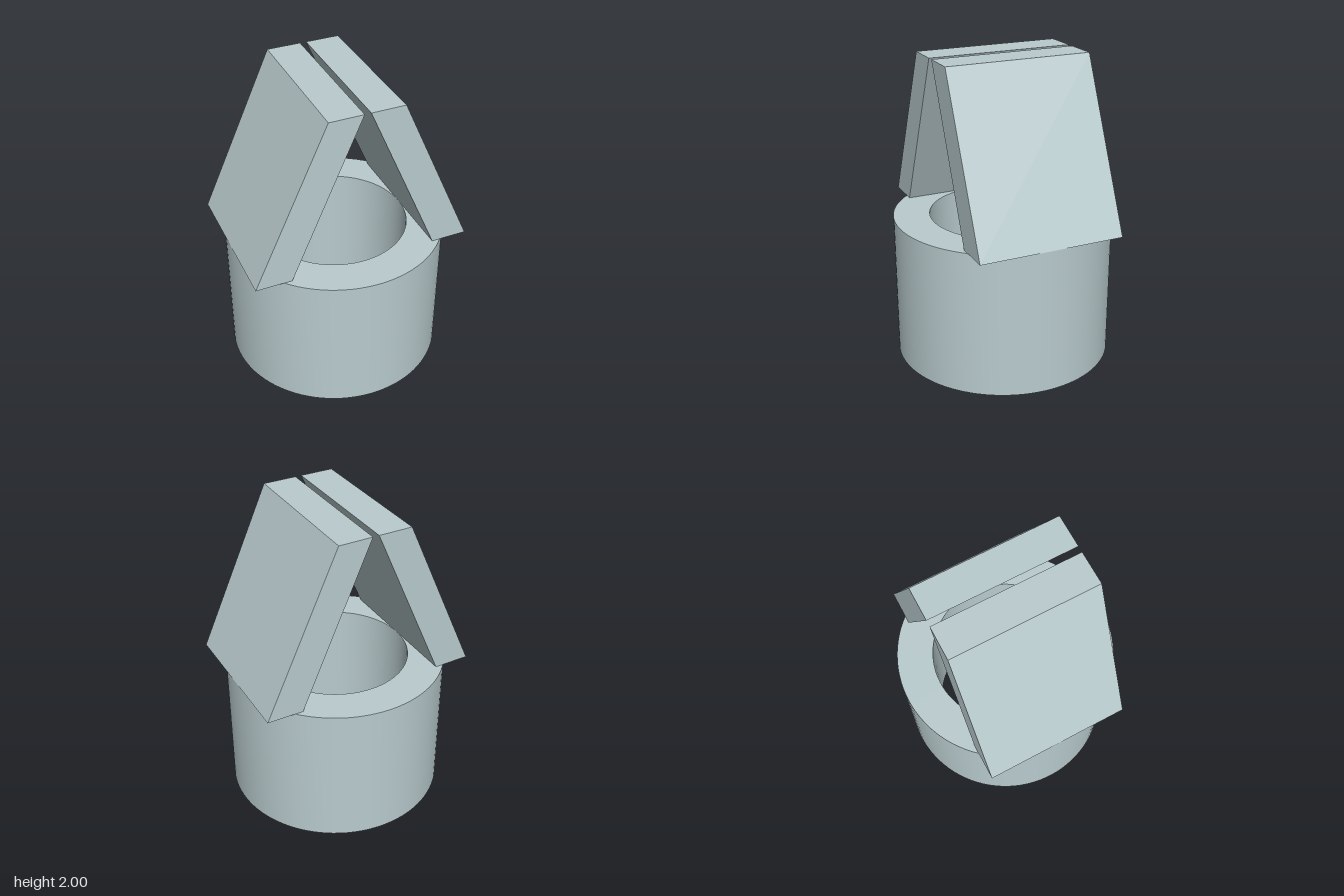
import * as THREE from 'three';
import { toCreasedNormals } from 'three/addons/utils/BufferGeometryUtils.js';

const OUTER = 0.712, INNER = 0.477, RING_TOP = 0.952, TOP = 2, DEPTH = 0.95;

export function createModel() {
  const model = new THREE.Group();
  const paleGrey = new THREE.MeshStandardMaterial({ color: 0xb9cbce });
  paleGrey.name = 'paleBlueGrey';

  // Open tube: outer wall, top rim, inner wall, bottom rim
  const profile = [
    [OUTER, 0], [OUTER, RING_TOP], [INNER, RING_TOP], [INNER, 0], [OUTER, 0],
  ].map(([r, y]) => new THREE.Vector2(r, y));
  const tube = new THREE.Mesh(
    toCreasedNormals(new THREE.LatheGeometry(profile, 96), 0.5), paleGrey);
  tube.name = 'baseTube';
  model.add(tube);

  // Two slanted slabs leaning together, with a narrow gap at the top
  for (const [side, name] of [[1, 'leftSlab'], [-1, 'rightSlab']]) {
    const outline = new THREE.Shape([
      [0.477, RING_TOP], [OUTER, RING_TOP], [0.238, TOP], [0.02, TOP],
    ].map(([x, y]) => new THREE.Vector2(side * x, y)));
    const geometry = new THREE.ExtrudeGeometry(outline, { depth: DEPTH, bevelEnabled: false });
    geometry.translate(0, 0, -DEPTH / 2);
    const slab = new THREE.Mesh(geometry, paleGrey);
    slab.name = name;
    model.add(slab);
  }
  return model;
}
